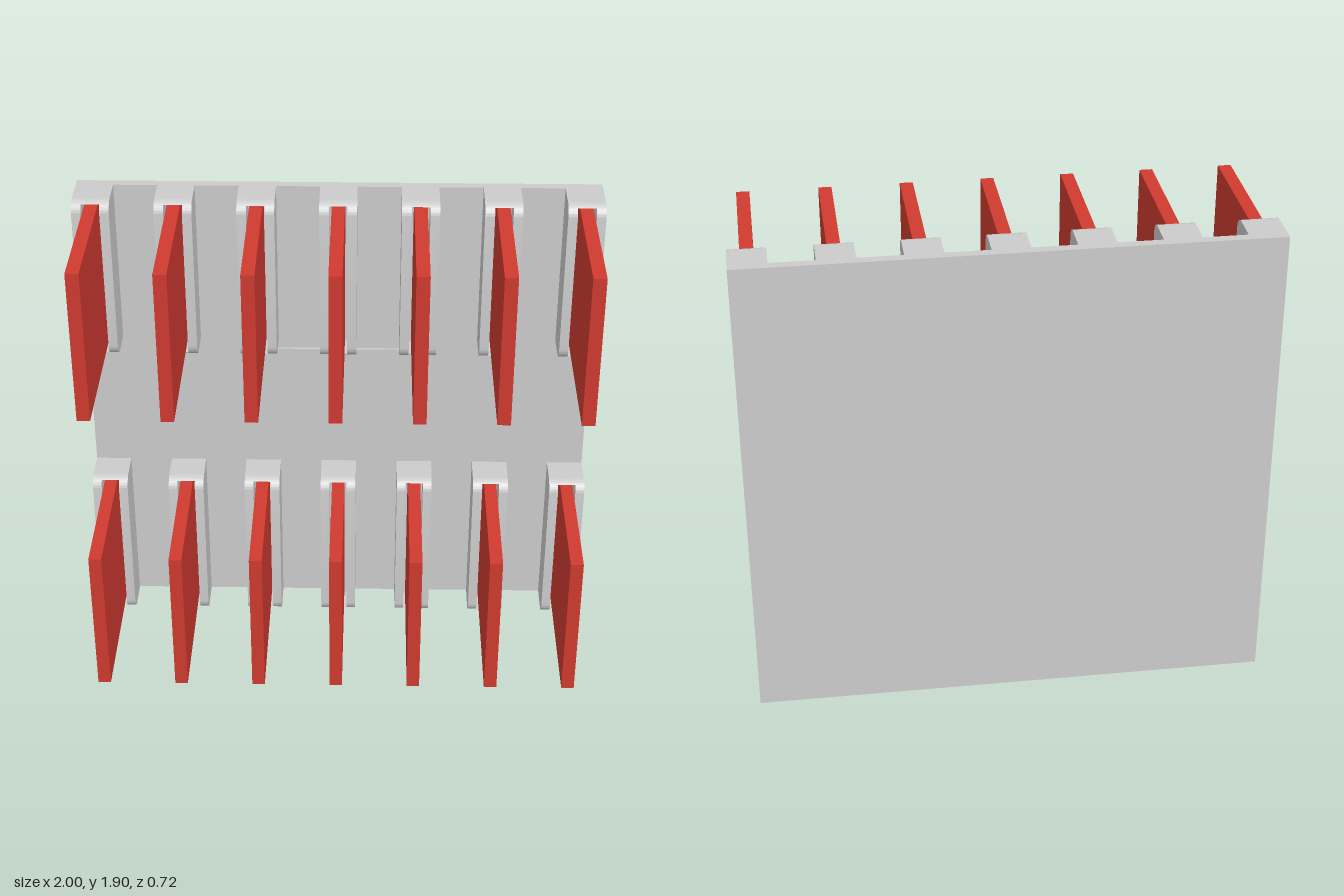
import * as THREE from 'three';
import { toCreasedNormals } from 'three/addons/utils/BufferGeometryUtils.js';

const W = 2, H = 1.9;                    // back plate
const BACK = -0.358, PLATE = -0.32;      // plate faces in z
const FRONT = -0.155, FLOOR = -0.28;     // socket front and slot floor in z
const SH = 0.66, SW = 0.142, R = 0.05;   // socket height, width, end radius
const SLOT = 0.07, RIM = 0.012;          // slot width, rim at each slot end
const CARD = 0.05, CARD_H = 0.61, CARD_FRONT = 0.358;
const COLUMNS = 7, ROWS = [0, H - SH];

const grey = new THREE.MeshStandardMaterial({ color: 0xcccccc });
const red = new THREE.MeshStandardMaterial({ color: 0xcf3a30 });

function box(name, material, w, h, z0, z1, x, y) {
  const mesh = new THREE.Mesh(new THREE.BoxGeometry(w, h, z1 - z0), material);
  mesh.position.set(x, y, (z0 + z1) / 2);
  mesh.name = name;
  return mesh;
}

// Side profile (z, y) with rounded front ends, extruded across x
function socketSlice(width, slotted) {
  const s = new THREE.Shape();
  const c = FRONT - R;
  s.moveTo(PLATE, 0);
  s.lineTo(c, 0);
  if (slotted) {
    const a = Math.asin((R - RIM) / R);
    s.absarc(c, R, R, -Math.PI / 2, -a, false);
    s.lineTo(FLOOR, RIM);
    s.lineTo(FLOOR, SH - RIM);
    s.absarc(c, SH - R, R, a, Math.PI / 2, false);
  } else {
    s.absarc(c, R, R, -Math.PI / 2, 0, false);
    s.absarc(c, SH - R, R, 0, Math.PI / 2, false);
  }
  s.lineTo(PLATE, SH);
  s.closePath();
  const g = new THREE.ExtrudeGeometry(s, { depth: width, bevelEnabled: false, curveSegments: 10 });
  g.translate(0, 0, -width / 2);
  g.rotateY(-Math.PI / 2);
  return toCreasedNormals(g, 0.6);
}

export function createModel() {
  const model = new THREE.Group();
  model.name = 'slottedBoard';

  // Board and the raised pad in its middle
  model.add(box('backPlate', grey, W, H, BACK, PLATE, 0, H / 2));
  model.add(box('centrePad', grey, 0.5, 0.49, PLATE, -0.309, 0, H / 2));

  // Two rows of sockets, each holding an upright card
  const wall = (SW - SLOT) / 2;
  const cheekGeometry = socketSlice(wall, false);
  const coreGeometry = socketSlice(SLOT, true);
  for (const y of ROWS) {
    for (let i = 0; i < COLUMNS; i++) {
      const x = (i / (COLUMNS - 1) - 0.5) * (W - SW);
      const socket = new THREE.Group();
      socket.name = 'socket';
      socket.position.set(x, y, 0);
      const core = new THREE.Mesh(coreGeometry, grey);
      core.name = 'socketCore';
      socket.add(core);
      for (const side of [-1, 1]) {
        const cheek = new THREE.Mesh(cheekGeometry, grey);
        cheek.name = 'socketCheek';
        cheek.position.x = side * (SLOT + wall) / 2;
        socket.add(cheek);
      }
      socket.add(box('card', red, CARD, CARD_H, FLOOR, CARD_FRONT, 0, SH / 2));
      model.add(socket);
    }
  }
  return model;
}
